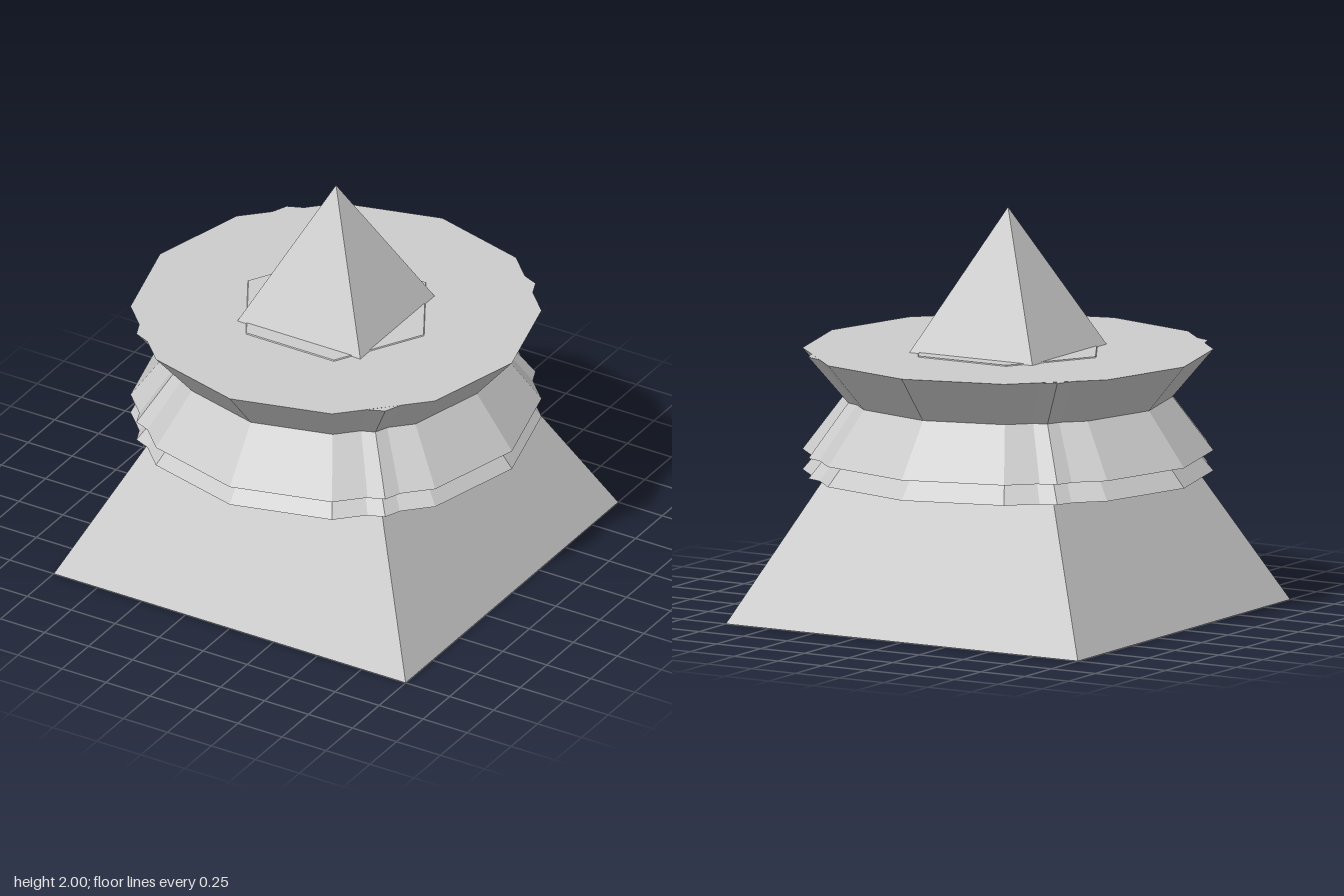
import * as THREE from 'three';

const material = new THREE.MeshStandardMaterial({ color: 0xcccccc, flatShading: true });

// Closed faceted frustum between two heights
function frustum(name, sides, y0, r0, y1, r1, turn = 0) {
  const geometry = new THREE.CylinderGeometry(r1, r0, y1 - y0, sides);
  geometry.rotateY(turn);
  geometry.translate(0, (y0 + y1) / 2, 0);
  const mesh = new THREE.Mesh(geometry, material);
  mesh.name = name;
  return mesh;
}

export function createModel() {
  const model = new THREE.Group();
  model.name = 'collaredPyramid';

  // Square pyramid running the full height
  const pyramid = new THREE.ConeGeometry(Math.SQRT2, 2, 4);
  pyramid.rotateY(Math.PI / 4);
  pyramid.translate(0, 1, 0);
  const body = new THREE.Mesh(pyramid, material);
  body.name = 'pyramid';
  model.add(body);

  // Each collar layer is an octagon and a dodecagon overlapping
  const collar = new THREE.Group();
  collar.name = 'collar';
  for (const sides of [8, 12]) {
    const lift = sides === 8 ? 0 : 0.001;
    collar.add(
      frustum(`lowerRim${sides}`, sides, 0.7 + lift, 1, 1.25, 0.54),
      frustum(`middleFlare${sides}`, sides, 0.8 + lift, 1, 1.25, 0.663),
      frustum(`upperFlare${sides}`, sides, 0.75, 0.533, 1.3 + lift, 1)
    );
  }

  // Hexagonal core whose top just breaks through the upper face
  collar.add(frustum('hexagonCore', 6, 0.702, 1, 1.306, 0.497, Math.PI / 6));
  model.add(collar);
  return model;
}
